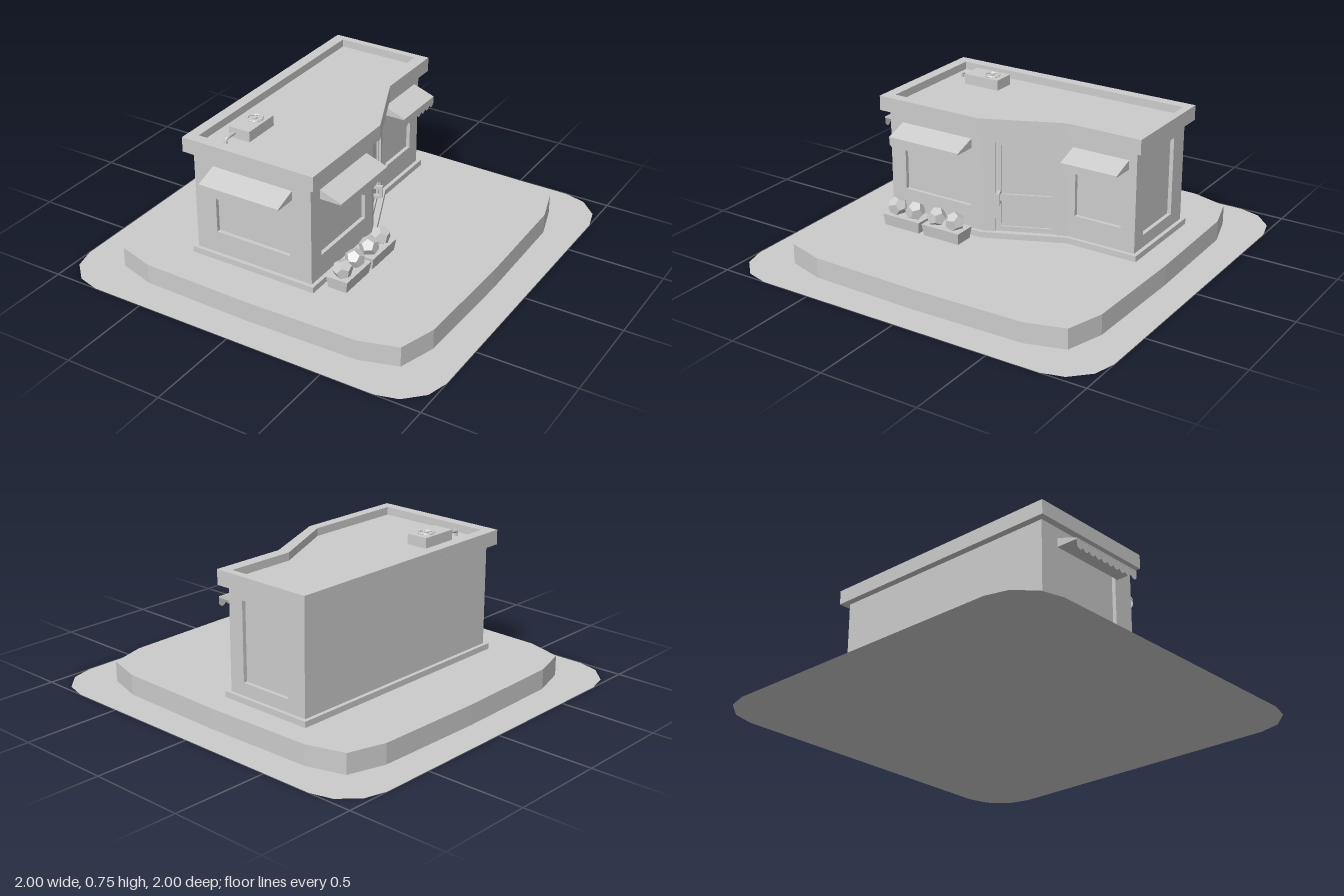
import * as THREE from 'three';

const grey = new THREE.MeshStandardMaterial({ color: 0xcccccc, flatShading: true });
const sheet = new THREE.MeshStandardMaterial({ color: 0xcccccc, side: THREE.DoubleSide });

function add(parent, name, geometry, x = 0, y = 0, z = 0, material = grey) {
  const mesh = new THREE.Mesh(geometry, material);
  mesh.name = name;
  mesh.position.set(x, y, z);
  parent.add(mesh);
  return mesh;
}

const box = (w, h, d) => new THREE.BoxGeometry(w, h, d);
const toShape = pts => new THREE.Shape(pts.map(([x, y]) => new THREE.Vector2(x, y)));
const rect = (x0, y0, x1, y1) => [[x0, y0], [x1, y0], [x1, y1], [x0, y1]];
const extrude = (shape, depth) =>
  new THREE.ExtrudeGeometry(shape, { depth, bevelEnabled: false, curveSegments: 6 });

// Floor plan of [x, z] points raised to a given height
function planShape(points, hole) {
  const flip = pts => pts.map(([x, z]) => [x, -z]);
  const shape = toShape(flip(points));
  if (hole) shape.holes.push(toShape(flip(hole)));
  return shape;
}
const raise = (points, height, hole) => extrude(planShape(points, hole), height).rotateX(-Math.PI / 2);

// Repeats one corner's points around all four quarters
function fourCorners(corner) {
  const out = [];
  for (let q = 0; q < 4; q++) {
    for (const [x, z] of corner) out.push([[x, z], [-z, x], [-x, -z], [z, -x]][q]);
  }
  return out;
}

// Building outline grown by a margin d
const outline = d => [
  [-0.445 - d, 0.6 + d], [0.2 + d, 0.6 + d], [0.2 + d, 0.06 - d * 0.2],
  [0.03 + d, -0.325 - d * 0.2], [0.03 + d, -0.687 - d], [-0.445 - d, -0.687 - d],
];

// Sloped wedge with a scalloped valance hanging from its front edge
function awning(parent, s0, s1) {
  const g = new THREE.Group();
  g.name = 'awning';
  const w = s1 - s0, reach = 0.115;
  const wedge = extrude(toShape([[0, 0.555], [reach, 0.555], [reach, 0.562], [0, 0.602]]), w);
  add(g, 'awningCanopy', wedge.rotateY(-Math.PI / 2), s1);
  const n = Math.round(w / 0.044), step = w / n;
  const valance = new THREE.Shape();
  valance.moveTo(w, 0.558);
  valance.lineTo(0, 0.558);
  valance.lineTo(0, 0.525);
  for (let i = 0; i < n; i++) {
    valance.quadraticCurveTo((i + 0.5) * step, 0.495, (i + 1) * step, 0.525);
  }
  add(g, 'awningValance', new THREE.ShapeGeometry(valance, 6), s0, 0, reach - 0.001, sheet);
  parent.add(g);
}

// Panelled door with a pull handle
function door(parent, s0, s1) {
  const g = new THREE.Group();
  g.name = 'door';
  const leaf = toShape(rect(s0, 0.135, s1, 0.6));
  for (const [y0, y1] of [[0.16, 0.295], [0.33, 0.585]]) {
    leaf.holes.push(toShape(rect(s0 + 0.027, y0, s1 - 0.027, y1)));
  }
  add(g, 'doorLeaf', extrude(leaf, 0.015), 0, 0, -0.025);
  add(g, 'doorPanels', box(s1 - s0, 0.465, 0.008), (s0 + s1) / 2, 0.3675, -0.024);
  for (const y of [0.293, 0.342]) add(g, 'handleBracket', box(0.016, 0.014, 0.045), s0 + 0.018, y, 0.01);
  add(g, 'handleBar', box(0.018, 0.065, 0.014), s0 + 0.018, 0.3175, 0.035);
  parent.add(g);
}

// Wall between two plan corners, outward face on local +z
function wall(parent, name, a, b, opening) {
  const g = new THREE.Group();
  g.name = name;
  const dx = b[0] - a[0], dz = b[1] - a[1];
  g.position.set(a[0], 0, a[1]);
  g.rotation.y = Math.atan2(-dz, dx);
  const shape = toShape(rect(0, 0.105, Math.hypot(dx, dz), 0.66));
  if (opening) {
    const [s0, y0, s1, y1] = opening;
    shape.holes.push(toShape(rect(...opening)));
    if (name !== 'doorWall') {
      add(g, 'windowPane', box(s1 - s0, y1 - y0, 0.006), (s0 + s1) / 2, (y0 + y1) / 2, -0.023);
    }
  }
  add(g, name + 'Panel', extrude(shape, 0.03), 0, 0, -0.03);
  parent.add(g);
  return g;
}

export function createModel() {
  const model = new THREE.Group();
  model.name = 'cornerShop';

  // Ground sheet and raised platform
  const ground = fourCorners([[1, 0.77], [0.97, 0.88], [0.88, 0.97], [0.77, 1]]);
  add(model, 'ground', new THREE.ShapeGeometry(planShape(ground)).rotateX(-Math.PI / 2), 0, 0, 0, sheet);
  const platform = fourCorners([[0.842, 0], [0.83, 0.58], [0.772, 0.772], [0.58, 0.83]]);
  add(model, 'platform', raise(platform, 0.103), 0, 0.002, 0);

  // Walls, windows, awnings and door
  const building = new THREE.Group();
  building.name = 'building';
  model.add(building);
  const p = outline(0);
  const front = wall(building, 'frontWall', p[0], p[1], [0.115, 0.25, 0.528, 0.6]);
  awning(front, 0.108, 0.545);
  const side = wall(building, 'sideWall', p[1], p[2], [0.085, 0.25, 0.475, 0.6]);
  awning(side, 0.075, 0.482);
  const entry = wall(building, 'doorWall', p[2], p[3], [0.065, 0.135, 0.366, 0.6]);
  door(entry, 0.065, 0.366);
  const rearSide = wall(building, 'rearSideWall', p[3], p[4], [0.035, 0.25, 0.285, 0.6]);
  awning(rearSide, 0.02, 0.32);
  wall(building, 'backWall', p[4], p[5], [0.085, 0.2, 0.37, 0.6]);
  wall(building, 'plainWall', p[5], p[0]);
  add(building, 'skirting', raise(outline(0.02), 0.032), 0, 0.103, 0);

  // Flat roof inside a parapet
  const rim = [[-0.425, 0.58], [0.183, 0.58], [0.183, 0.055], [0.005, -0.325], [0.005, -0.685], [-0.425, -0.685]];
  add(building, 'roofSlab', raise(outline(0.036), 0.035), 0, 0.655, 0);
  add(building, 'parapet', raise(outline(0.036), 0.04, rim), 0, 0.69, 0);

  // Rooftop cooling unit
  const unit = new THREE.Group();
  unit.name = 'coolingUnit';
  unit.position.set(-0.288, 0, 0.353);
  model.add(unit);
  add(unit, 'unitBody', box(0.115, 0.055, 0.2), 0, 0.7155, 0);
  add(unit, 'fanRing', new THREE.TorusGeometry(0.036, 0.006, 6, 20).rotateX(Math.PI / 2), 0, 0.745, -0.03);
  add(unit, 'fanHub', new THREE.CylinderGeometry(0.012, 0.012, 0.008, 12), 0, 0.747, -0.03);
  const pipe = new THREE.CatmullRomCurve3([[0, 0.715, 0.09], [0, 0.718, 0.14], [0, 0.712, 0.168], [0, 0.685, 0.172]]
    .map(v => new THREE.Vector3(...v)));
  add(unit, 'unitPipe', new THREE.TubeGeometry(pipe, 12, 0.009, 8), -0.027, 0, 0);

  // Tapered planters with round shrubs
  for (const [zc, shrubs] of [[0.437, [0.495, 0.388]], [0.202, [0.258, 0.15]]]) {
    const trough = box(0.114, 0.06, 0.218);
    const pos = trough.attributes.position;
    for (let i = 0; i < pos.count; i++) {
      if (pos.getY(i) < 0) pos.setXYZ(i, pos.getX(i) * 0.86, pos.getY(i), pos.getZ(i) * 0.93);
    }
    add(model, 'planter', trough, 0.3, 0.135, zc);
    shrubs.forEach((z, i) => {
      const shrub = add(model, 'shrub', new THREE.DodecahedronGeometry(0.05), 0.302, 0.197, z);
      shrub.rotation.set(0.4 + i, zc * 5 + i, 0.3);
    });
  }
  return model;
}
